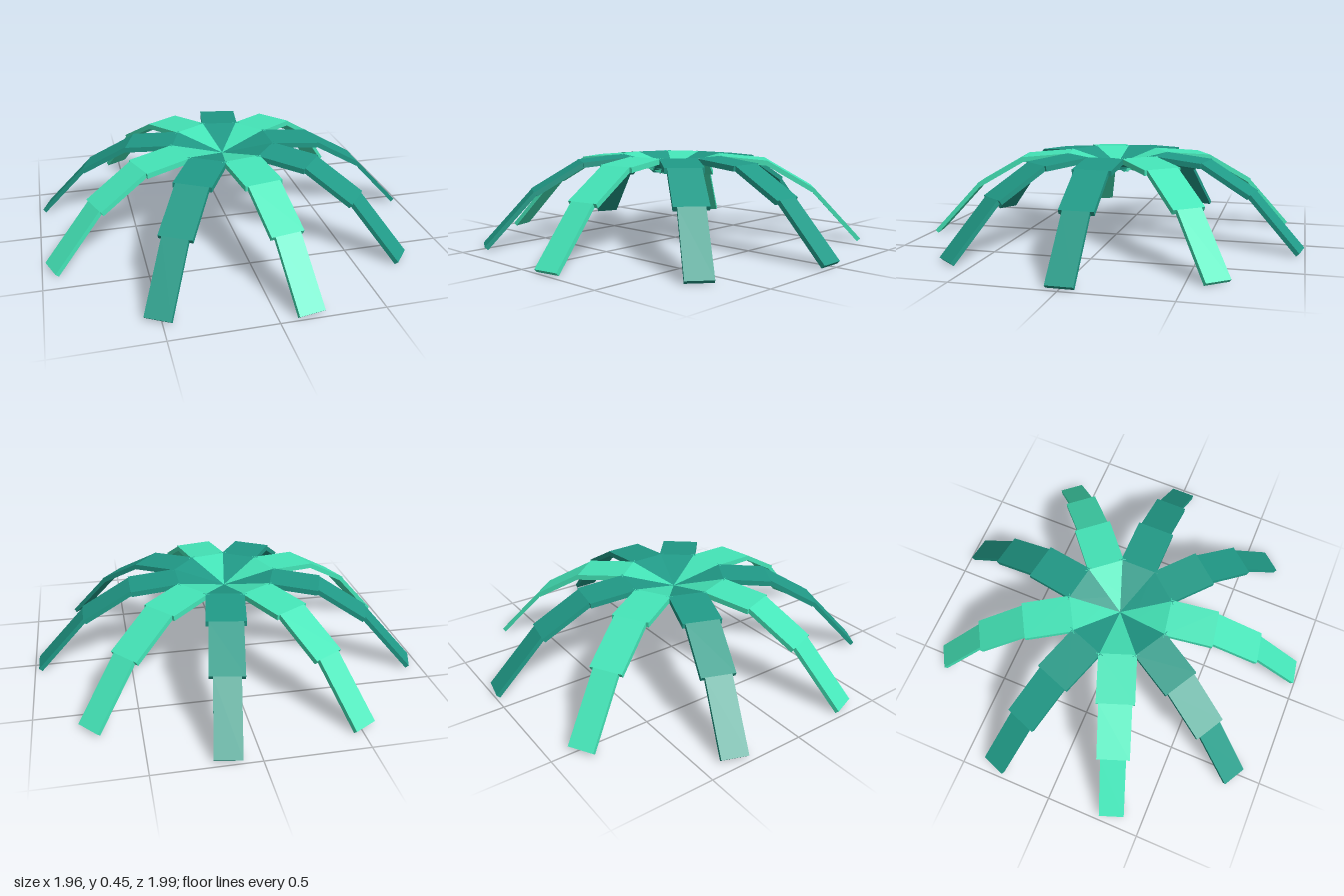
import * as THREE from 'three';

export function createModel() {
  const model = new THREE.Group();
  model.name = 'jointedCanopy';
  const mint = new THREE.MeshStandardMaterial({ color: 0x44e5b8 });
  mint.name = 'mint';
  const teal = new THREE.MeshStandardMaterial({ color: 0x209a87 });
  teal.name = 'teal';

  // Top line of one arm, from the dished hub to the foot: [radius, height]
  const knees = [[0, 0.385], [0.25, 0.453], [0.5, 0.43], [0.75, 0.285], [1, 0.015]];
  const widths = [0.22, 0.195, 0.168, 0.13];
  const thicknesses = [0.028, 0.027, 0.025, 0.022];
  const names = ['hubPlate', 'upperPlate', 'middlePlate', 'footPlate'];

  // One flat plank whose top face runs between two knees
  function plank(i, material) {
    const [r0, y0] = knees[i];
    const [r1, y1] = knees[i + 1];
    const length = Math.hypot(r1 - r0, y1 - y0);
    const geometry = new THREE.BoxGeometry(length, thicknesses[i], widths[i]);
    geometry.translate(length / 2, -thicknesses[i] / 2, 0);
    const mesh = new THREE.Mesh(geometry, material);
    mesh.position.set(r0, y0, 0);
    mesh.rotation.z = Math.atan2(y1 - y0, r1 - r0);
    mesh.name = names[i];
    return mesh;
  }

  // Nine arms around the hub in alternating colours, two teal ones side by side
  const count = 9;
  for (let k = 0; k < count; k++) {
    const arm = new THREE.Group();
    arm.name = `arm${k + 1}`;
    for (let i = 0; i < names.length; i++) arm.add(plank(i, k % 2 ? mint : teal));
    arm.position.x = -0.02;
    arm.rotation.y = (k / count) * Math.PI * 2;
    model.add(arm);
  }
  return model;
}
